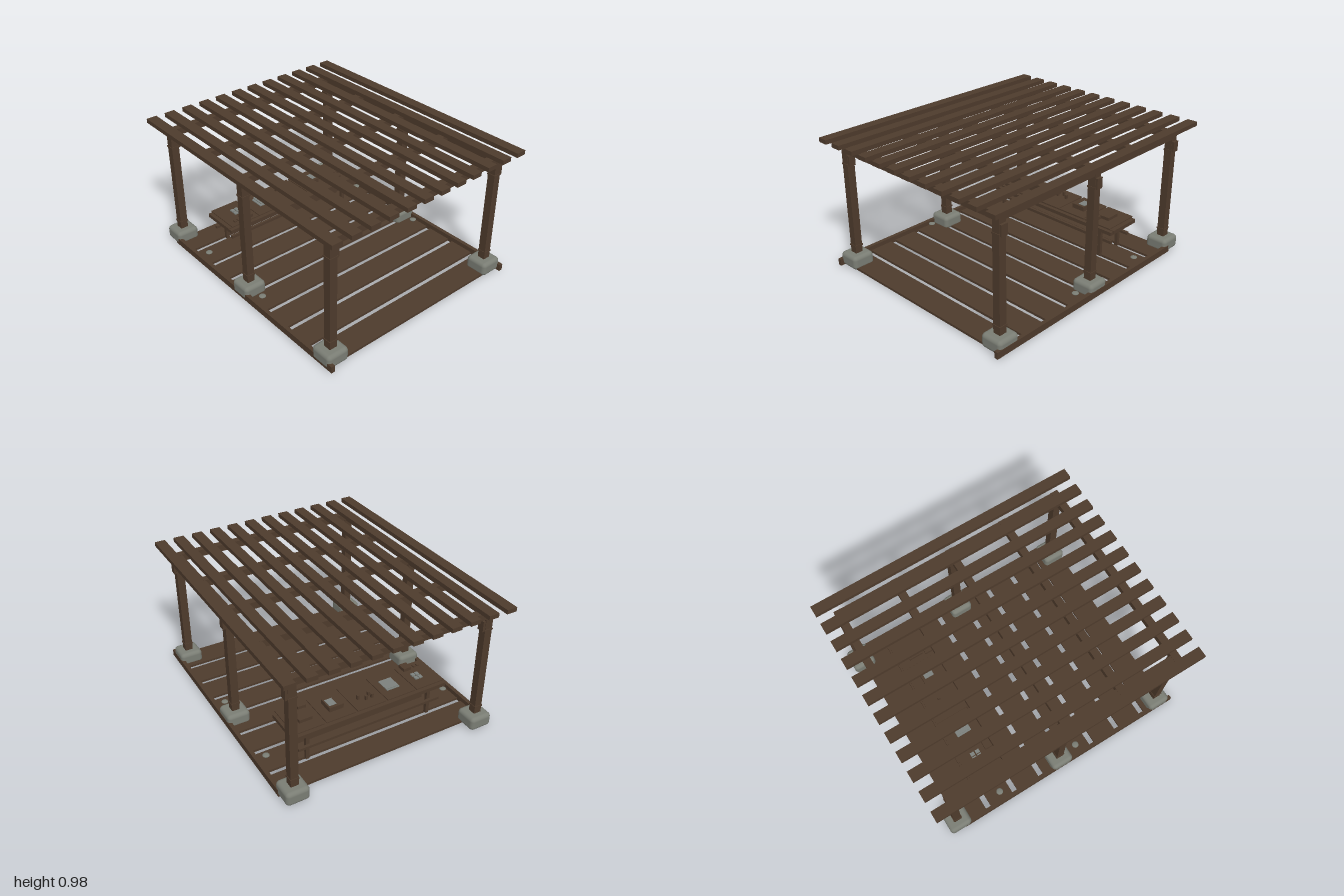
import * as THREE from 'three';
import { RoundedBoxGeometry } from 'three/addons/geometries/RoundedBoxGeometry.js';

const material = (name, color) => {
  const m = new THREE.MeshStandardMaterial({ color });
  m.name = name;
  return m;
};

export function createModel() {
  const model = new THREE.Group();
  const wood = material('dark wood', 0x4e3b2c);
  const stone = material('grey stone', 0x7a7d74);
  const metal = material('dull metal', 0x7c817d);

  const group = (name) => {
    const g = new THREE.Group();
    g.name = name;
    model.add(g);
    return g;
  };
  // Box given by its limits on each axis
  const block = (parent, name, [x0, x1], [y0, y1], [z0, z1], mat = wood) => {
    const mesh = new THREE.Mesh(new THREE.BoxGeometry(x1 - x0, y1 - y0, z1 - z0), mat);
    mesh.position.set((x0 + x1) / 2, (y0 + y1) / 2, (z0 + z1) / 2);
    mesh.name = name;
    parent.add(mesh);
    return mesh;
  };
  const around = (c, half) => [c - half, c + half];

  // Floor boards with open gaps, and a sill along each side
  const floor = group('floor');
  for (let i = 0; i < 8; i++) {
    block(floor, 'floorBoard', [-0.8, 0.8], [0.003, 0.02], around(-0.738 + i * 0.2243, 0.092));
  }
  for (const s of [-1, 1]) block(floor, 'sideSill', around(s * 0.787, 0.014), [0.003, 0.052], [-0.82, 0.968]);

  // Posts on stone footings, with collars and a bracket plate
  const posts = group('posts');
  for (const x of [-0.718, 0.714]) {
    for (const z of [-0.86, 0, 0.86]) {
      const footing = new THREE.Mesh(new RoundedBoxGeometry(0.168, 0.102, 0.168, 4, 0.028), stone);
      footing.position.set(x, 0.051, z);
      footing.name = 'stoneFooting';
      posts.add(footing);
      block(posts, 'post', around(x, 0.028), [0.09, 0.89], around(z, 0.028));
      for (const y of [0.158, 0.783]) block(posts, 'postCollar', around(x, 0.032), around(y, 0.006), around(z, 0.032));
      block(posts, 'bracketPlate', [x + 0.027, x + 0.046], [0.777, 0.853], around(z, 0.025));
    }
  }

  // Roof frame
  const frame = group('roofFrame');
  for (const x of [-0.718, 0.714]) block(frame, 'sideBeam', around(x, 0.026), [0.867, 0.916], [-0.884, 0.884]);
  for (let i = -2; i <= 2; i++) block(frame, 'crossBeam', [-0.746, 0.741], [0.868, 0.918], around(i * 0.43, 0.027));

  // Roof slats
  const roof = group('roofSlats');
  for (let i = 0; i < 12; i++) block(roof, 'roofSlat', around((i - 5.5) * 0.1433, 0.038), [0.949, 0.98], [-1, 1]);

  // Workbench
  const table = group('table');
  block(table, 'tableTop', [-0.6, 0.6], [0.232, 0.26], [-0.662, -0.402]);
  block(table, 'tableFrontPlank', [-0.6, 0.6], [0.232, 0.258], [-0.398, -0.37]);
  for (const x of [-0.484, 0.48]) {
    for (const z of [-0.618, -0.41]) block(table, 'tableLeg', around(x, 0.013), [0.018, 0.234], around(z, 0.012));
  }
  block(table, 'backRail', [-0.56, 0.556], [0.125, 0.144], around(-0.641, 0.011));
  block(table, 'lowerRail', [-0.51, 0.505], [0.077, 0.099], around(-0.515, 0.01));

  // Five thin trays with wares
  const wares = group('wares');
  for (let i = -2; i <= 2; i++) block(wares, 'tray', around(i * 0.237, 0.11), [0.276, 0.283], [-0.65, -0.375]);
  for (const x of [-0.465, -0.432]) {
    for (const z of [-0.545, -0.505]) block(wares, 'smallTile', around(x, 0.013), [0.283, 0.292], around(z, 0.015), metal);
  }
  block(wares, 'smallBox', [-0.455, -0.395], [0.289, 0.313], [-0.45, -0.385]);
  for (const x of [-0.53, -0.5]) block(wares, 'smallPiece', around(x, 0.009), [0.28, 0.292], around(-0.42, 0.012));
  block(wares, 'lowerPlate', [-0.275, -0.175], [0.287, 0.293], [-0.57, -0.46], metal);
  block(wares, 'upperPlate', [-0.265, -0.165], [0.3, 0.306], [-0.57, -0.47], metal);
  [-0.05, -0.038, -0.003, 0.045].forEach((x, i) =>
    block(wares, 'standingPeg', around(x, 0.008), [0.28, 0.315], around(-0.57 + (i % 2) * 0.03, 0.009)));
  block(wares, 'chest', [0.172, 0.28], [0.283, 0.317], [-0.57, -0.46]);
  block(wares, 'chestLid', [0.215, 0.27], [0.316, 0.32], [-0.55, -0.48], metal);
  block(wares, 'flatBox', [0.41, 0.505], [0.283, 0.306], [-0.57, -0.465]);
  block(wares, 'flatBoxTop', [0.39, 0.45], [0.289, 0.313], [-0.45, -0.39]);

  // Flat pebbles beside the sills
  const pebbles = group('pebbles');
  for (const x of [-0.72, 0.72]) {
    for (const z of [-0.5, 0.155]) {
      const pebble = new THREE.Mesh(new THREE.SphereGeometry(0.025, 12, 8), stone);
      pebble.scale.y = 0.35;
      pebble.position.set(x, 0.056, z);
      pebble.name = 'pebble';
      pebbles.add(pebble);
    }
  }
  return model;
}
